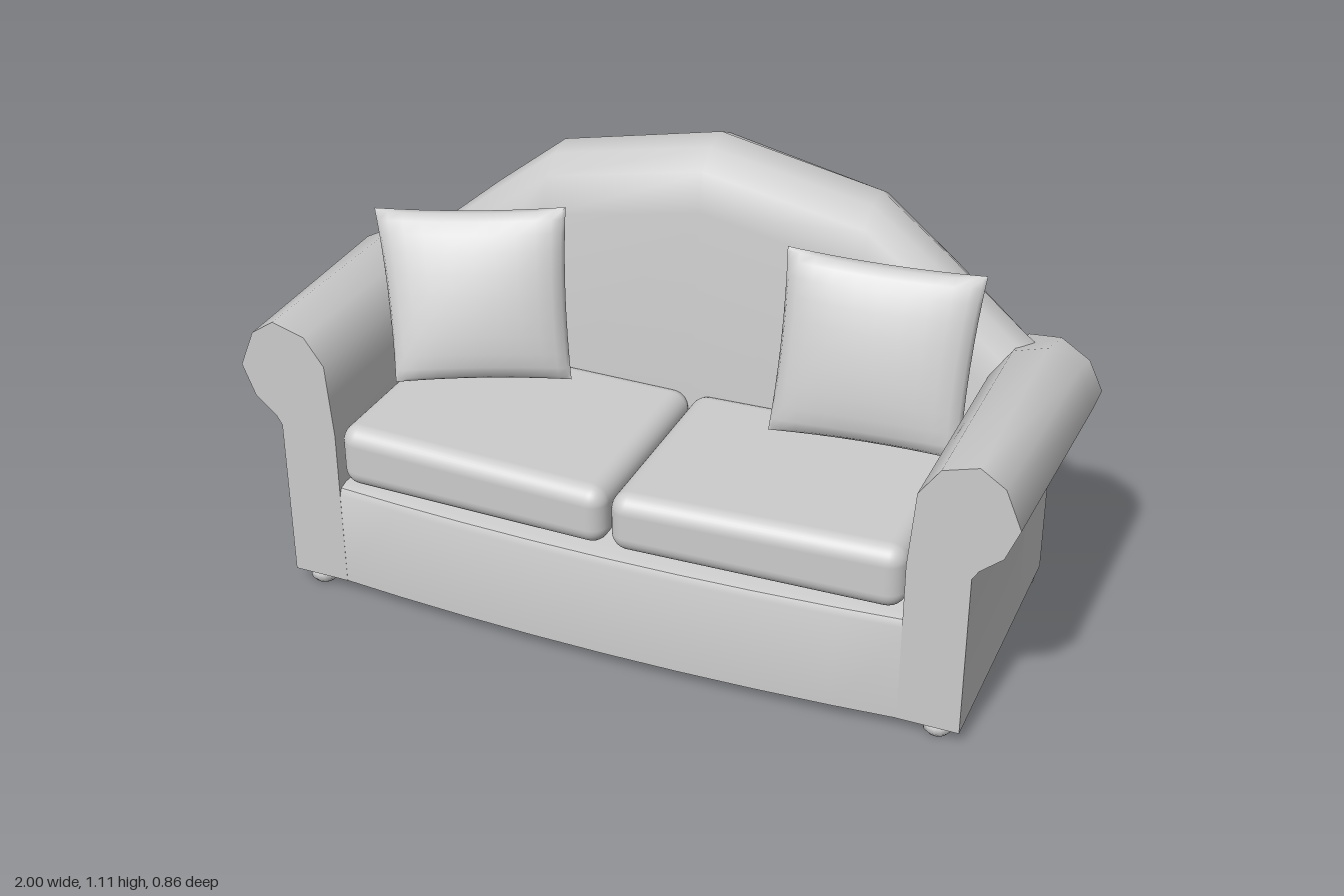
import * as THREE from 'three';
import { toCreasedNormals, mergeVertices } from 'three/addons/utils/BufferGeometryUtils.js';
import { RoundedBoxGeometry } from 'three/addons/geometries/RoundedBoxGeometry.js';

const material = new THREE.MeshStandardMaterial({ color: 0xcccccc, roughness: 0.8 });

function add(parent, name, geometry) {
  const mesh = new THREE.Mesh(geometry, material);
  mesh.name = name;
  parent.add(mesh);
  return mesh;
}

// Skin closed cross-sections; the last point of each section is its cap centre.
function loft(sections, crease = 0.8) {
  const n = sections[0].length - 1, stride = n + 1, last = (sections.length - 1) * stride;
  const pos = sections.flat(2), index = [];
  for (let s = 0; s < sections.length - 1; s++) {
    for (let i = 0; i < n; i++) {
      const a = s * stride + i, b = s * stride + (i + 1) % n;
      index.push(a, b, b + stride, a, b + stride, a + stride);
    }
  }
  for (let i = 0; i < n; i++) {
    const j = (i + 1) % n;
    index.push(n, j, i, last + n, last + i, last + j);
  }
  // Signed volume tells whether the skin must be turned outward
  const p = k => new THREE.Vector3().fromArray(pos, index[k] * 3);
  let volume = 0;
  for (let k = 0; k < index.length; k += 3) volume += p(k).dot(p(k + 1).cross(p(k + 2)));
  if (volume < 0) index.reverse();
  const g = new THREE.BufferGeometry();
  g.setAttribute('position', new THREE.Float32BufferAttribute(pos, 3));
  g.setIndex(index);
  return toCreasedNormals(g, crease);
}

// Arched backrest: side profile swept across the width with a bowed rear
function backGeometry() {
  const half = [[0, 1.11], [0.42, 1.03], [0.61, 0.885], [0.8, 0.73], [0.88, 0.67]];
  const columns = [...half.slice(1).reverse().map(([x, y]) => [-x, y]), ...half];
  return loft(columns.map(([x, top]) => {
    const bow = 0.072 * Math.pow(Math.abs(x) / 0.88, 1.3);
    return [
      [0.035, -0.12, 0], [0.42, -0.13, 0], [top - 0.16, -0.175, 0], [top - 0.06, -0.19, 0],
      [top - 0.014, -0.245, 0.2], [top, -0.318, 0.5], [top - 0.028, -0.383, 0.9],
      [top - 0.11, -0.416, 1], [0.035, -0.427, 1], [0.3, -0.25, 0]
    ].map(([y, z, k]) => [x, y, z + bow * k]);
  }), 0.95);
}

// Rolled arm: pillar and scroll in one outline, rear end slanted into the back
function armGeometry(side) {
  const outline = [
    [0.73, 0.035], [0.73, 0.46], [0.738, 0.56], [0.745, 0.65], [0.795, 0.72], [0.88, 0.745],
    [0.96, 0.705], [1.0, 0.61], [0.968, 0.53], [0.915, 0.485], [0.88, 0.46], [0.88, 0.035],
    [0.81, 0.5]
  ];
  const front = ([x, y]) => [side * (x > 0.9 ? x - 0.02 : x), y, 0.395];
  const middle = ([x, y]) => [side * x, y, -0.2];
  const rear = ([x, y]) => [
    side * x, y > 0.61 ? 0.61 + (y - 0.61) * 0.7 : y,
    -0.365 + Math.max(0, x - 0.83) * 0.45
  ];
  return loft([outline.map(front), outline.map(middle), outline.map(rear)], 0.95);
}

// Base with a gently bowed front panel
function baseGeometry() {
  const front = x => 0.392 + 0.036 * (1 - (x / 0.76) ** 2);
  const rows = [[0.035, 0], [0.29, 0], [0.307, -0.008], [0.313, -0.03]];
  return loft(rows.map(([y, inset]) => {
    const ring = [];
    for (let i = 0; i <= 8; i++) {
      const x = -0.76 + 0.19 * i;
      ring.push([x, y, front(x) + inset]);
    }
    ring.push([0.76, y, -0.33], [-0.76, y, -0.33], [0, y, 0]);
    return ring;
  }), 0.7);
}

// Seat cushion with a crowned top and a front that follows the bow
function cushionGeometry(side) {
  const g = new RoundedBoxGeometry(0.72, 0.165, 0.55, 4, 0.045);
  const p = g.attributes.position;
  for (let i = 0; i < p.count; i++) {
    const x = p.getX(i), y = p.getY(i), z = p.getZ(i);
    const wx = side * (x + side * 0.365);
    if (y > 0) p.setY(i, y - 0.012 * (1 - wx / 0.73));
    if (z > 0) p.setZ(i, z + 0.018 * (1 - wx / 0.73));
  }
  p.needsUpdate = true;
  return g;
}

// Puffed square pillow stretched between four corners (TL, TR, BR, BL)
function pillowGeometry(corners, thickness) {
  const [tl, tr, br, bl] = corners.map(c => new THREE.Vector3(...c));
  const across = tr.clone().sub(tl).add(br).sub(bl);
  const up = tl.clone().sub(bl).add(tr).sub(br);
  const normal = across.cross(up).normalize();
  const n = 12, pos = [], index = [];
  for (const face of [1, -1]) {
    const start = pos.length / 3;
    for (let j = 0; j <= n; j++) {
      for (let i = 0; i <= n; i++) {
        const u = -Math.cos(Math.PI * i / n), v = -Math.cos(Math.PI * j / n);
        // Edges draw in a little between the pointed corners
        const s = (u * (1 - 0.035 * (1 - v * v)) + 1) / 2;
        const t = (v * (1 - 0.035 * (1 - u * u)) + 1) / 2;
        const low = bl.clone().lerp(br, s), high = tl.clone().lerp(tr, s);
        const puff = Math.pow(Math.max(0, (1 - u * u) * (1 - v * v)), 0.42);
        const q = low.lerp(high, t).addScaledVector(normal, face * thickness * puff);
        pos.push(q.x, q.y, q.z);
        if (i < n && j < n) {
          const a = start + j * (n + 1) + i, b = a + 1, c = a + n + 1, d = c + 1;
          if (face > 0) index.push(a, b, d, a, d, c);
          else index.push(a, d, b, a, c, d);
        }
      }
    }
  }
  const g = new THREE.BufferGeometry();
  g.setAttribute('position', new THREE.Float32BufferAttribute(pos, 3));
  g.setIndex(index);
  return toCreasedNormals(mergeVertices(g), 1.0);
}

export function createModel() {
  const sofa = new THREE.Group();
  sofa.name = 'sofa';

  add(sofa, 'backrest', backGeometry());
  add(sofa, 'base', baseGeometry());

  // Bun foot profile
  const foot = new THREE.LatheGeometry([
    [0, 0], [0.026, 0], [0.036, 0.012], [0.036, 0.026], [0.028, 0.038], [0, 0.04]
  ].map(([r, y]) => new THREE.Vector2(r, y)), 14);

  for (const [label, side] of [['left', 1], ['right', -1]]) {
    add(sofa, label + 'Arm', armGeometry(side));
    add(sofa, label + 'SeatCushion', cushionGeometry(side))
      .position.set(side * 0.365, 0.402, 0.12);
    add(sofa, label + 'FrontFoot', foot).position.set(side * 0.82, 0, 0.355);
    add(sofa, label + 'BackFoot', foot).position.set(side * 0.84, 0, -0.315);
  }

  // Throw pillows leaning on the back
  add(sofa, 'leftPillow', pillowGeometry([
    [0.25, 0.93, -0.12], [0.725, 0.91, -0.185], [0.725, 0.49, -0.04], [0.255, 0.49, 0.0]
  ], 0.06));
  add(sofa, 'rightPillow', pillowGeometry([
    [-0.83, 0.88, -0.03], [-0.355, 0.91, -0.16], [-0.295, 0.49, -0.045], [-0.7, 0.49, 0.14]
  ], 0.06));

  return sofa;
}
